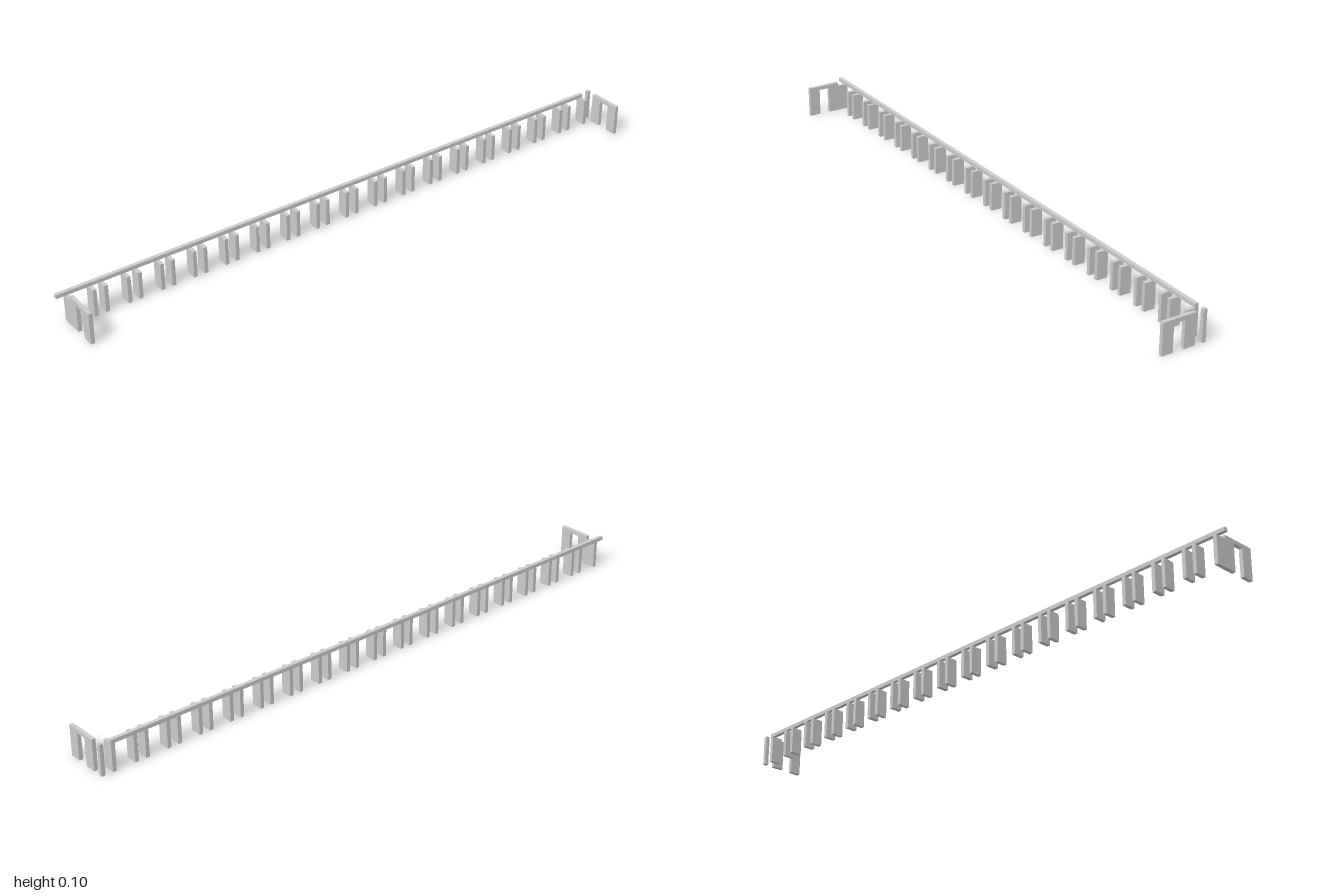
import * as THREE from 'three';

const U = 0.0121;          // wall thickness, the module of the layout
const H = 0.1;             // full height
const P = 0.0878;          // panel height, underside of beam and lintels
const X0 = -0.0727;        // outer side of the row
const X1 = -0.0364;        // inner side of the panels
const X2 = 0.0727;         // outer side of the gates
const zAt = (n) => -1 + n * U;

export function createModel() {
  const group = new THREE.Group();
  const material = new THREE.MeshStandardMaterial({ color: 0xcccccc, flatShading: true });

  const add = (name, geometry) => {
    const mesh = new THREE.Mesh(geometry, material);
    mesh.name = name;
    group.add(mesh);
    return mesh;
  };
  const block = (name, x0, x1, y0, y1, z0, z1) => {
    add(name, new THREE.BoxGeometry(x1 - x0, y1 - y0, z1 - z0))
      .position.set((x0 + x1) / 2, (y0 + y1) / 2, (z0 + z1) / 2);
  };
  // Wall with a doorway, given the outline of its left end
  const gate = (name, leftEnd, z) => {
    const outline = [...leftEnd, [X2, H], [X2, 0], [0.0364, 0], [0.0364, P], [0, P], [0, 0]];
    const shape = new THREE.Shape(outline.map(([x, y]) => new THREE.Vector2(x, y)));
    add(name, new THREE.ExtrudeGeometry(shape, { depth: U, bevelEnabled: false })).position.z = z;
  };

  // Long beam resting on the panels, overhanging at the front
  block('beam', X0, X0 + U, P, H, zAt(3), 1);

  // Paired partition panels; the end bays are closed by the gates
  for (let k = 0; k < 18; k++) {
    for (const n of k === 0 ? [3] : [9 * k, 9 * k + 3]) {
      block('panel', X0, X1, 0, P, zAt(n), zAt(n + 1));
    }
  }

  // Front gate joined to the first panel, and free-standing back gate
  gate('frontGate', [[X0, 0], [X0, P], [X1, P], [X1, H]], zAt(162));
  gate('backGate', [[X1, 0], [X1, H]], -1);

  // Slim post beside the back gate
  block('backPost', X0, X0 + U, 0, H, -1, zAt(1));

  return group;
}
